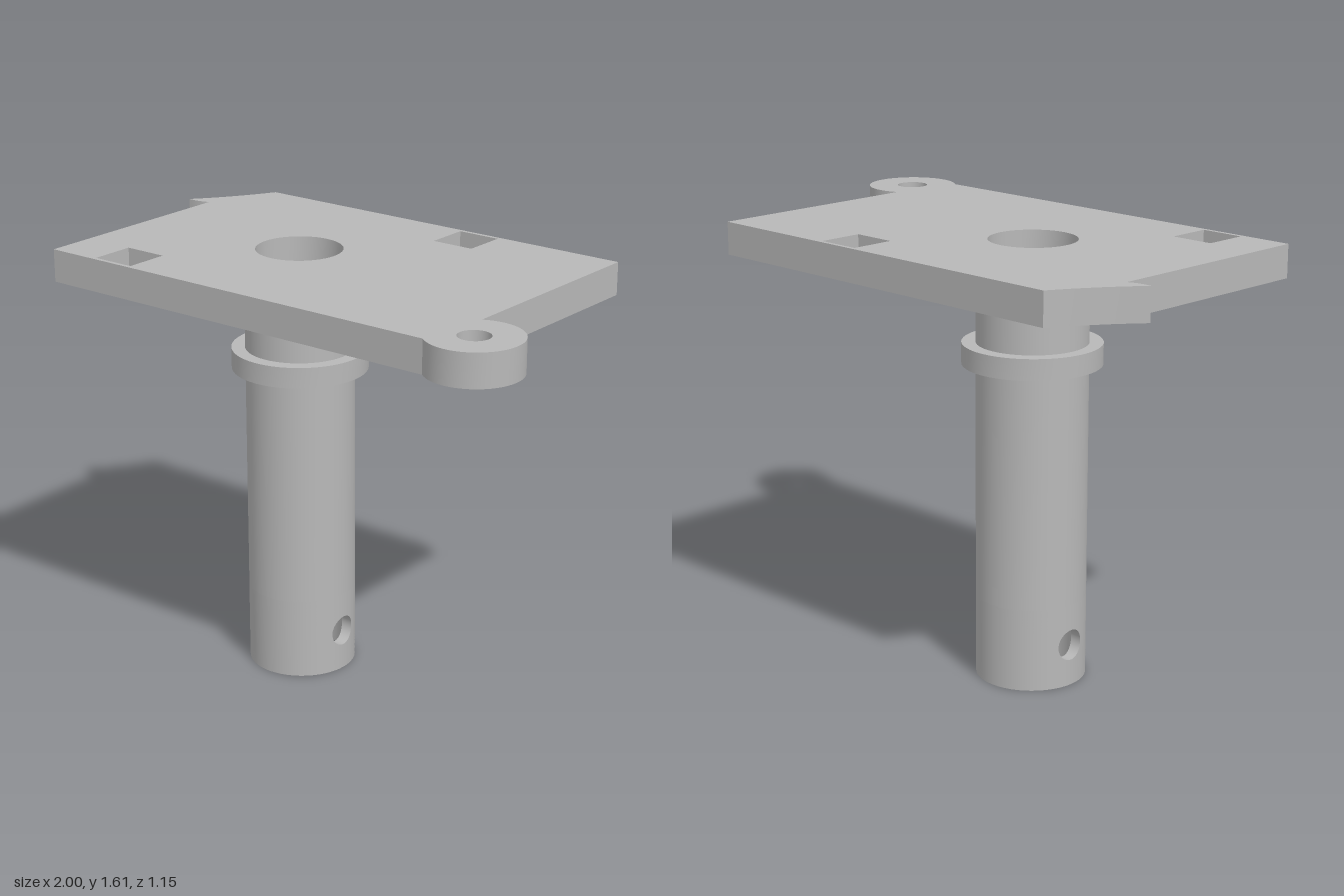
import * as THREE from 'three';
import { toCreasedNormals } from 'three/addons/utils/BufferGeometryUtils.js';

const CX = -0.23, CZ = -0.02;            // tube axis
const R_OUT = 0.2, R_IN = 0.158, R_COLLAR = 0.25;
const TOP = 1.605, UNDER = 1.485, POCKET_FLOOR = 1.525;
const PIN_Y = 0.153, PIN_R = 0.057;      // cross hole through the tube

const arc = (x, z, r, a0, a1, n) => Array.from({ length: n + 1 }, (_, i) => {
  const a = a0 + (a1 - a0) * i / n;
  return [x + r * Math.cos(a), z + r * Math.sin(a)];
});
const circle = (x, z, r, n = 48) => arc(x, z, r, 0, Math.PI * 2, n).slice(0, n);
const rect = (x0, x1, z0, z1) => [[x0, z0], [x1, z0], [x1, z1], [x0, z1]];
const bend = (a, c, b, n = 8) => new THREE.QuadraticBezierCurve(
  new THREE.Vector2(...a), new THREE.Vector2(...c), new THREE.Vector2(...b)
).getPoints(n).map(p => [p.x, p.y]);

// Horizontal face bounded by [x, z] points
function face(outline, holes, y, up) {
  const s = up ? -1 : 1;
  const vecs = pts => pts.map(([x, z]) => new THREE.Vector2(x, s * z));
  const shape = new THREE.Shape(vecs(outline));
  shape.holes = holes.map(h => new THREE.Path(vecs(h)));
  return new THREE.ShapeGeometry(shape).rotateX(s * Math.PI / 2).translate(0, y, 0);
}

// Vertical wall along a closed loop of [x, z] points
function wall(loop, y0, y1, outward = true) {
  const ccw = THREE.ShapeUtils.area(loop.map(([x, z]) => new THREE.Vector2(x, -z))) > 0;
  const pts = ccw === outward ? loop : [...loop].reverse();
  const pos = [];
  pts.forEach(([ax, az], i) => {
    const [bx, bz] = pts[(i + 1) % pts.length];
    pos.push(ax, y0, az, bx, y0, bz, bx, y1, bz, ax, y0, az, bx, y1, bz, ax, y1, az);
  });
  const g = new THREE.BufferGeometry();
  g.setAttribute('position', new THREE.Float32BufferAttribute(pos, 3));
  return toCreasedNormals(g, 0.5);
}

// Perimeter of the unrolled half tube around the cross hole: [angle, height]
function perimeter() {
  const w = Math.PI / 2, h = PIN_Y, out = [];
  const side = (a, b, n) => {
    for (let i = 0; i < n; i++) out.push([a[0] + (b[0] - a[0]) * i / n, a[1] + (b[1] - a[1]) * i / n]);
  };
  side([w, -h], [w, h], 12);
  side([w, h], [-w, h], 24);
  side([-w, h], [-w, -h], 12);
  side([-w, -h], [w, -h], 24);
  return out;
}
const rim = perimeter();
const pinAngle = ([t, h]) => Math.atan2(h, t * R_OUT);

// Half cylinder surface with a round hole, facing side s (+1 or -1 in x)
function piercedHalf(r, s, outward) {
  const steps = 12, n = rim.length, pos = [], nor = [], idx = [], f = outward ? 1 : -1;
  for (let v = 0; v <= steps; v++) for (const p of rim) {
    const phi = pinAngle(p), k = v / steps;
    const t0 = Math.asin(PIN_R * Math.cos(phi) / r);
    const t = t0 + (p[0] - t0) * k;
    const h = PIN_R * Math.sin(phi) * (1 - k) + p[1] * k;
    const nx = s * Math.cos(t), nz = -s * Math.sin(t);
    pos.push(CX + r * nx, PIN_Y + h, CZ + r * nz);
    nor.push(f * nx, 0, f * nz);
  }
  for (let v = 0; v < steps; v++) for (let i = 0; i < n; i++) {
    const j = (i + 1) % n, a = v * n + i, b = a + n, c = (v + 1) * n + j, d = v * n + j;
    idx.push(...(outward ? [a, b, c, a, c, d] : [a, c, b, a, d, c]));
  }
  const g = new THREE.BufferGeometry();
  g.setAttribute('position', new THREE.Float32BufferAttribute(pos, 3));
  g.setAttribute('normal', new THREE.Float32BufferAttribute(nor, 3));
  g.setIndex(idx);
  return g;
}

// Wall of the cross hole through the tube's thickness
function pinBore(s) {
  const n = rim.length, pos = [], idx = [];
  for (const r of [R_OUT, R_IN]) for (const p of rim) {
    const phi = pinAngle(p), o = PIN_R * Math.cos(phi);
    pos.push(CX + s * Math.sqrt(r * r - o * o), PIN_Y + PIN_R * Math.sin(phi), CZ - s * o);
  }
  for (let i = 0; i < n; i++) {
    const j = (i + 1) % n;
    idx.push(i, j, n + j, i, n + j, n + i);
  }
  const g = new THREE.BufferGeometry();
  g.setAttribute('position', new THREE.Float32BufferAttribute(pos, 3));
  g.setIndex(idx);
  g.computeVertexNormals();
  return g;
}

export function createModel() {
  const grey = new THREE.MeshStandardMaterial({ color: 0xb8b8b8 });
  grey.name = 'grey';
  const model = new THREE.Group();
  model.name = 'mountingPost';
  const part = (name, geometries) => {
    const group = new THREE.Group();
    group.name = name;
    geometries.forEach(g => {
      const mesh = new THREE.Mesh(g, grey);
      mesh.name = name + 'Surface';
      group.add(mesh);
    });
    model.add(group);
  };

  // Plate outline with the round ear and the hooked corner
  const ear = [0.83, 0.405], earR = 0.167;
  const outline = [
    [0.755, -0.575],
    ...arc(...ear, earR, Math.atan2(-0.149, -0.075), Math.atan2(0.125, -0.111), 36),
    [-0.91, 0.53],
    ...bend([-0.91, -0.305], [-0.94, -0.285], [-1, -0.29]),
    ...bend([-1, -0.29], [-0.89, -0.415], [-0.805, -0.575]).slice(1),
  ];
  const mainHole = circle(CX, CZ, R_IN), earHole = circle(...ear, PIN_R, 32);
  const pockets = [rect(0.09, 0.255, -0.56, -0.395), rect(-0.715, -0.55, 0.35, 0.515)];
  part('plate', [
    face(outline, [mainHole, earHole, ...pockets], TOP, true),
    face(outline, [mainHole, earHole], UNDER, false),
    wall(outline, UNDER, TOP),
    wall(mainHole, UNDER, TOP, false),
    wall(earHole, UNDER, TOP, false),
  ]);

  // Blind square pockets
  pockets.forEach(p => part('pocket', [
    wall(p, POCKET_FLOOR, TOP, false),
    face(p, [], POCKET_FLOOR, true),
  ]));

  // Hollow tube
  const outer = circle(CX, CZ, R_OUT);
  part('tube', [
    wall(outer, 2 * PIN_Y, UNDER),
    wall(mainHole, 2 * PIN_Y, UNDER, false),
    face(outer, [mainHole], 0, false),
  ]);

  // Tube end with the cross hole on both sides
  for (const s of [1, -1]) {
    part(s > 0 ? 'tubeEndLeft' : 'tubeEndRight',
      [piercedHalf(R_OUT, s, true), piercedHalf(R_IN, s, false), pinBore(s)]);
  }

  // Collar
  const collar = circle(CX, CZ, R_COLLAR);
  part('collar', [
    wall(collar, 1.163, 1.24),
    face(collar, [outer], 1.24, true),
    face(collar, [outer], 1.163, false),
  ]);

  return model;
}
